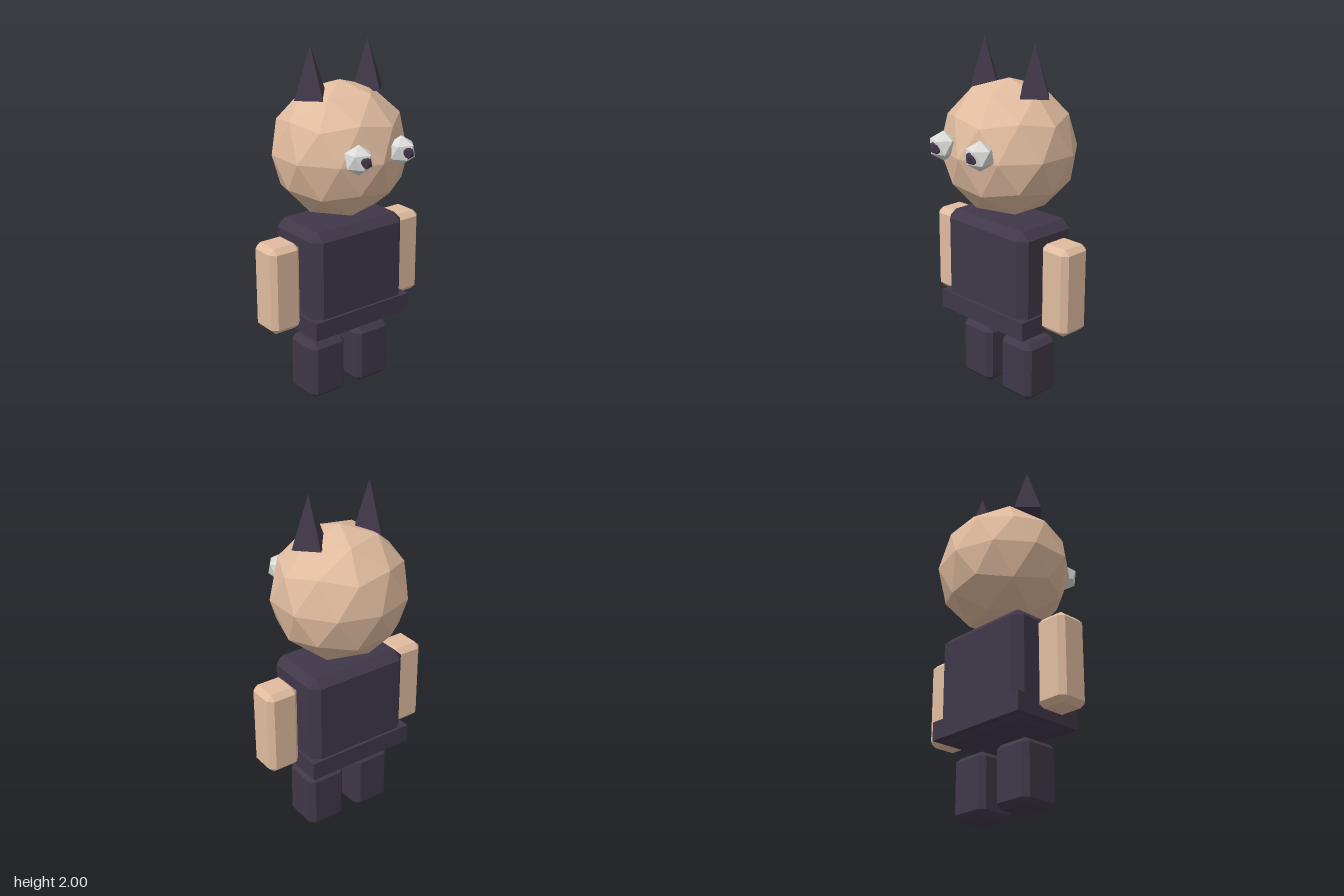
import * as THREE from 'three';
import { ConvexGeometry } from 'three/addons/geometries/ConvexGeometry.js';

const Z = -0.028; // shared depth centre of the figure

// Box with a flat chamfer along every edge
function chamferBox(w, h, d, b) {
  const points = [];
  for (const x of [-1, 1]) for (const y of [-1, 1]) for (const z of [-1, 1]) {
    for (let axis = 0; axis < 3; axis++) {
      const p = [w / 2 - b, h / 2 - b, d / 2 - b];
      p[axis] += b;
      points.push(new THREE.Vector3(x * p[0], y * p[1], z * p[2]));
    }
  }
  return new ConvexGeometry(points);
}

// Faceted ball with a vertex at each pole
function poleBall(radius, detail) {
  return new THREE.IcosahedronGeometry(radius, detail)
    .rotateX(-Math.atan((1 + Math.sqrt(5)) / 2))
    .rotateY(Math.PI / 2);
}

export function createModel() {
  const group = new THREE.Group();
  const material = (name, color) => {
    const m = new THREE.MeshStandardMaterial({ color, flatShading: true });
    m.name = name;
    return m;
  };
  const skin = material('skin', 0xe0bb9f);
  const dark = material('dark cloth', 0x403748);
  const white = material('eye white', 0xdadad8);

  const add = (name, geometry, mat, x, y, z = Z) => {
    const mesh = new THREE.Mesh(geometry, mat);
    mesh.name = name;
    mesh.position.set(x, y, z);
    group.add(mesh);
    return mesh;
  };

  // Torso and belt
  add('torso', chamferBox(0.624, 0.622, 0.405, 0.047), dark, 0, 0.724);
  add('belt', new THREE.BoxGeometry(0.656, 0.106, 0.436), dark, 0, 0.488);

  // Head
  add('head', poleBall(1, 1), skin, 0, 1.418).scale.set(0.385, 0.379, 0.37);

  // Paired parts
  const arm = chamferBox(0.19, 0.498, 0.19, 0.03);
  const leg = chamferBox(0.234, 0.345, 0.234, 0.03);
  const ear = new THREE.ConeGeometry(0.107, 0.276, 4);
  const eye = poleBall(0.082, 0);
  const pupil = poleBall(0.043, 0);
  for (const [side, s] of [['left', 1], ['right', -1]]) {
    add(side + 'Arm', arm, skin, s * 0.424, 0.721);
    add(side + 'Leg', leg, dark, s * 0.159, 0.1725);
    add(side + 'Ear', ear, dark, s * 0.19, 1.862);
    add(side + 'Eye', eye, white, s * 0.143, 1.46, 0.314);
    add(side + 'Pupil', pupil, dark, s * 0.141, 1.458, 0.359);
  }
  return group;
}
